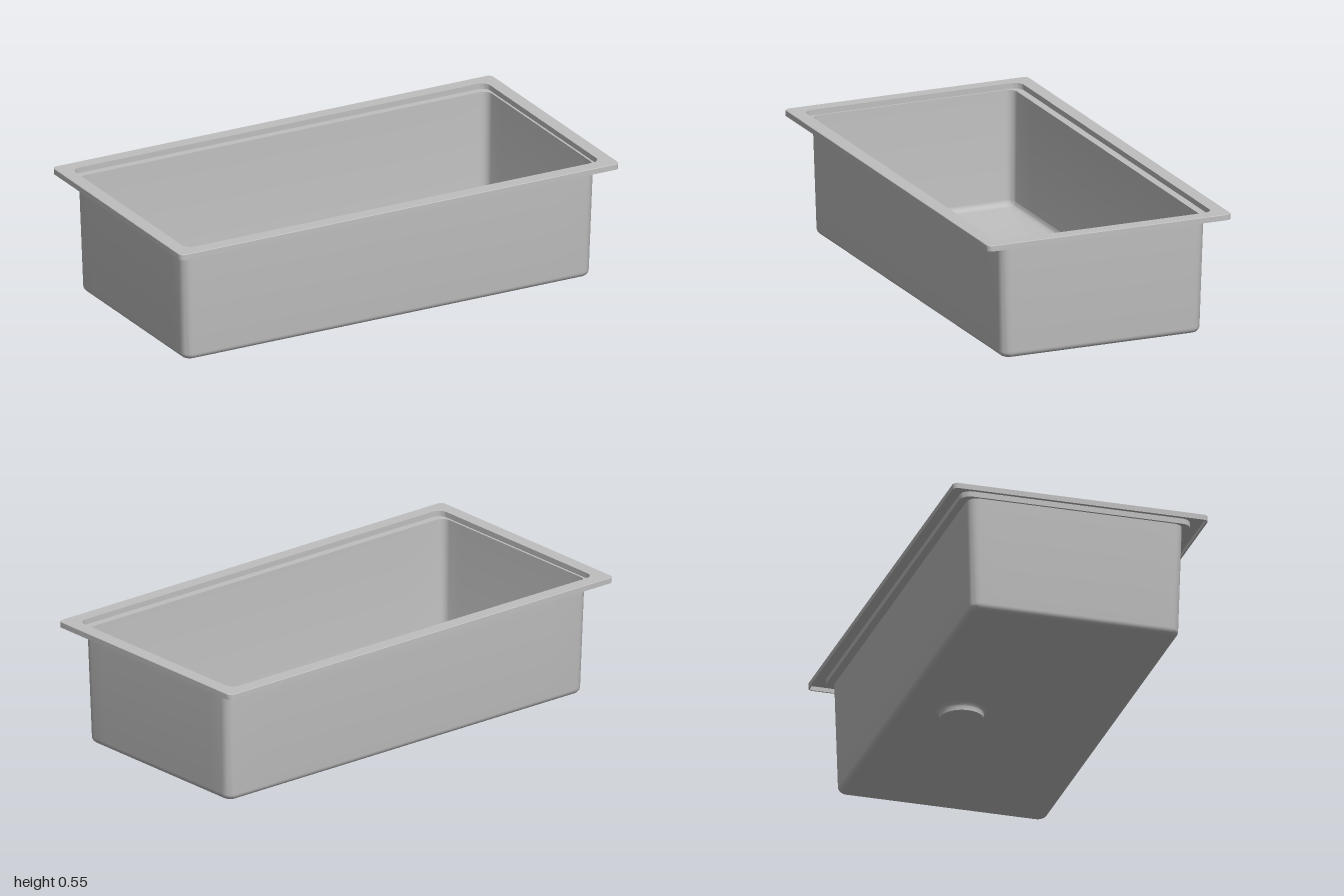
import * as THREE from 'three';
import { toCreasedNormals } from 'three/addons/utils/BufferGeometryUtils.js';

const DRAIN_Z = -0.193;
const CORNER = 7, SIDE = 12; // subdivisions of each corner and straight side

// Rounded rectangle in the ground plane, counter-clockwise seen from above
function ring(hx, hz, r, y) {
  const corners = [];
  const signs = [[1, 1], [-1, 1], [-1, -1], [1, -1]];
  signs.forEach(([sx, sz], q) => {
    for (let i = 0; i <= CORNER; i++) {
      const a = (q + i / CORNER) * Math.PI / 2;
      corners.push(new THREE.Vector3(sx * (hx - r) + r * Math.cos(a), y, -sz * (hz - r) - r * Math.sin(a)));
    }
  });
  const points = [];
  corners.forEach((p, i) => {
    points.push(p);
    if (i % (CORNER + 1) === CORNER) {
      const next = corners[(i + 1) % corners.length];
      for (let k = 1; k < SIDE; k++) points.push(p.clone().lerp(next, k / SIDE));
    }
  });
  return points;
}

// Circle around the drain whose points line up with those of another ring
function drainRing(from, radius, y) {
  return from.map(p => {
    const a = Math.atan2(p.z - DRAIN_Z, p.x);
    return new THREE.Vector3(radius * Math.cos(a), y, DRAIN_Z + radius * Math.sin(a));
  });
}

// Skin a list of rings
function loft(rings) {
  const n = rings[0].length, index = [];
  for (let j = 0; j < rings.length - 1; j++) {
    for (let i = 0; i < n; i++) {
      const a = j * n + i, b = j * n + (i + 1) % n;
      index.push(a, b, a + n, b, b + n, a + n);
    }
  }
  const geometry = new THREE.BufferGeometry().setFromPoints(rings.flat());
  geometry.setIndex(index);
  return toCreasedNormals(geometry, 0.6);
}

// Bowl side from the top edge down to the floor, including the bottom fillet
function bowlRings(inset, floorY, topY, fillet) {
  const rings = [ring(0.94 - inset, 0.447 - inset, 0.042 - inset, topY)];
  for (let i = 0; i <= 6; i++) {
    const a = i / 6 * Math.PI / 2;
    const d = fillet * (1 - Math.cos(a)) + inset;
    rings.push(ring(0.927 - d, 0.436 - d, Math.max(0.042 - d, 0.008), floorY + fillet * (1 - Math.sin(a))));
  }
  return rings;
}

export function createModel() {
  const model = new THREE.Group();
  const steel = new THREE.MeshStandardMaterial({ color: 0xbfbfbf });
  steel.name = 'brushed steel';
  const add = (name, geometry, parent = model) => {
    const mesh = new THREE.Mesh(geometry, steel);
    mesh.name = name;
    parent.add(mesh);
    return mesh;
  };

  // Basin: thin shell whose floor falls gently towards the drain
  const basin = new THREE.Group();
  basin.name = 'basin';
  model.add(basin);
  const outer = bowlRings(0, 0.046, 0.523, 0.026);
  outer.push(drainRing(outer.at(-1), 0.15, 0.037), drainRing(outer.at(-1), 0.1, 0.036));
  add('basinOutside', loft(outer.reverse()), basin);
  const inner = bowlRings(0.006, 0.052, 0.529, 0.024);
  inner.push(drainRing(inner.at(-1), 0.143, 0.044), drainRing(inner.at(-1), 0.143, 0.039),
    drainRing(inner.at(-1), 0.01, 0.039));
  add('basinInside', loft(inner), basin);

  // Rim: folded sheet with a turned-down skirt and a recessed ledge
  add('rimAndLedge', loft([
    ring(0.94, 0.447, 0.042, 0.523),
    ring(0.949, 0.479, 0.044, 0.523),
    ring(0.949, 0.479, 0.044, 0.546),
    ring(0.994, 0.525, 0.016, 0.546),
    ring(0.994, 0.525, 0.016, 0.528),
    ring(1, 0.531, 0.022, 0.528),
    ring(1, 0.531, 0.022, 0.55),
    ring(0.998, 0.529, 0.02, 0.552),
    ring(0.943, 0.473, 0.038, 0.552),
    ring(0.943, 0.473, 0.038, 0.529),
    ring(0.934, 0.441, 0.036, 0.529),
  ]));

  // Drain: flush round cover, and a flared outlet below the floor
  const drain = new THREE.Group();
  drain.name = 'drain';
  drain.position.z = DRAIN_Z;
  model.add(drain);
  add('drainCover', new THREE.CylinderGeometry(0.14, 0.14, 0.006, 64), drain).position.y = 0.042;
  const outlet = [[0, 0], [0.086, 0], [0.088, 0.002], [0.088, 0.018], [0.091, 0.026],
    [0.098, 0.032], [0.108, 0.036], [0.12, 0.0375]].map(([x, y]) => new THREE.Vector2(x, y));
  add('drainOutlet', toCreasedNormals(new THREE.LatheGeometry(outlet, 48), 0.6), drain);

  return model;
}
